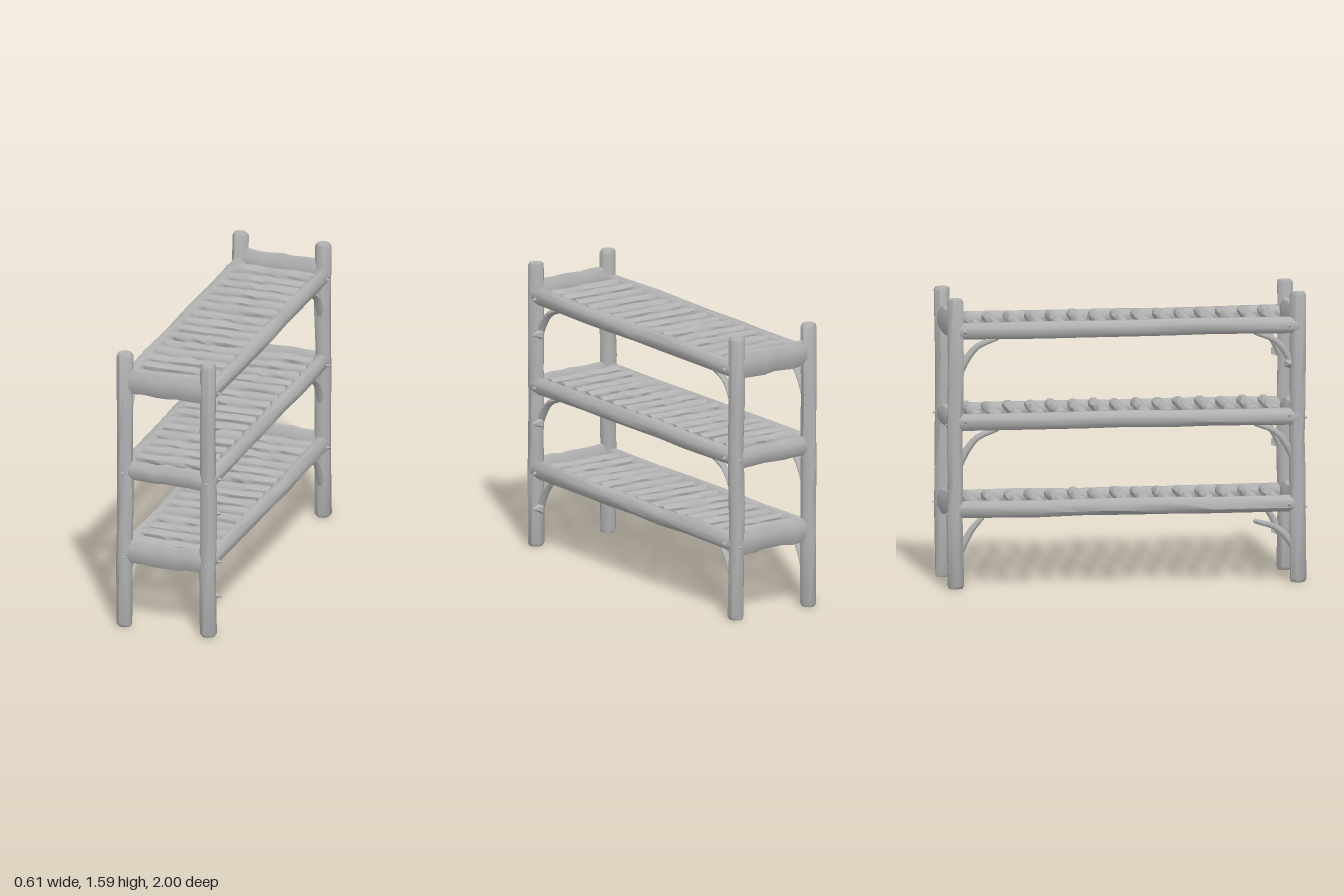
import * as THREE from 'three';
import { toCreasedNormals } from 'three/addons/utils/BufferGeometryUtils.js';

const SIDES = 8, RINGS = 8;
const wood = new THREE.MeshStandardMaterial({ color: 0xb2b2b2 });
wood.name = 'plain grey wood';

// repeatable noise in -1..1
const noise = (a, b, c) => {
  const s = Math.sin(a * 12.9898 + b * 78.233 + c * 37.719) * 43758.5453;
  return (s - Math.floor(s)) * 2 - 1;
};

export function createModel() {
  const model = new THREE.Group();
  model.name = 'logShelf';
  let seed = 1;

  function add(name, geometry, parent = model) {
    const mesh = new THREE.Mesh(geometry, wood);
    mesh.name = name;
    parent.add(mesh);
    return mesh;
  }

  // rough hewn log along y: eight sides, uneven surface, worn ends
  function logGeometry(length, width, depth, rough = 0.06) {
    const id = seed++;
    const g = new THREE.CylinderGeometry(0.5, 0.5, 1, SIDES, RINGS, false, Math.PI / SIDES);
    const p = g.attributes.position;
    const grow = 1.03 / Math.cos(Math.PI / SIDES);
    for (let i = 0; i < p.count; i++) {
      const x = p.getX(i), z = p.getZ(i);
      const ring = Math.round((p.getY(i) + 0.5) * RINGS);
      const side = (Math.round((Math.atan2(z, x) / Math.PI + 1) * SIDES * 2) + 4 * SIDES) % (4 * SIDES);
      const end = ring === 0 || ring === RINGS;
      const s = grow * (end ? 0.84 : 1) * (1 + rough * noise(ring, side, id));
      let y = (ring / RINGS - 0.5) * length;
      if (ring === 1) y = -length / 2 + 0.015;
      if (ring === RINGS - 1) y = length / 2 - 0.015;
      const bend = end ? 0 : 0.04;
      p.setXYZ(i, x * s * width + bend * width * noise(ring, id, 3), y,
        z * s * depth + bend * depth * noise(ring, id, 7));
    }
    return toCreasedNormals(g, 0.85);
  }

  // pointed stub of a cut branch, pointing outward
  function knot(parent, x, y, z, axis, sign) {
    const g = new THREE.ConeGeometry(0.03, 0.06, 5);
    if (axis === 'x') g.rotateZ(-sign * Math.PI / 2);
    else g.rotateX(sign * Math.PI / 2);
    add('knot', toCreasedNormals(g, 0.5), parent).position.set(x, y, z);
  }

  // curved branch bracing a post and a rail, thinner at the rail end
  function brace(parent, x, sz, points) {
    const curve = new THREE.CatmullRomCurve3(points.map(([z, y]) => new THREE.Vector3(x, y, z * sz)));
    const g = new THREE.TubeGeometry(curve, 8, 0.022, 6);
    const p = g.attributes.position, c = new THREE.Vector3(), v = new THREE.Vector3();
    for (let i = 0; i < p.count; i++) {
      const t = Math.floor(i / 7) / 8;
      curve.getPointAt(t, c);
      v.fromBufferAttribute(p, i).sub(c).multiplyScalar(1.1 - 0.45 * t).add(c);
      p.setXYZ(i, v.x, v.y, v.z);
    }
    g.computeVertexNormals();
    add('brace', g, parent);
    // closed tip
    const tip = new THREE.SphereGeometry(0.0143, 6, 4);
    const last = points[points.length - 1];
    add('braceTip', tip, parent).position.set(x, last[1], last[0] * sz);
  }

  // corner posts with knots
  for (const sx of [-1, 1]) for (const sz of [-1, 1]) {
    const post = new THREE.Group();
    post.name = 'post';
    model.add(post);
    add('postLog', logGeometry(1.59, 0.08, 0.08), post).position.set(sx * 0.24, 0.795, sz * 0.94);
    const heights = sx > 0 ? [1.4, 1.2, 0.9, 0.7, 0.42, 0.22] : [1.41, 1.2, 0.92, 0.43];
    heights.forEach((y, i) => {
      if (sz > 0 || i % 2 === 0) knot(post, sx * 0.273, y, sz * 0.89, 'x', sx);
    });
    for (const y of [0.9, 0.41]) knot(post, sx * 0.24, y, sz * 0.968, 'z', sz);
  }

  // tiers: side rail centre, end rail centre and height, slat centre
  const tiers = [
    { name: 'bottomTier', rail: 0.425, end: 0.43, endHeight: 0.125, slat: 0.448 },
    { name: 'middleTier', rail: 0.905, end: 0.905, endHeight: 0.1, slat: 0.936 },
    { name: 'topTier', rail: 1.405, end: 1.425, endHeight: 0.135, slat: 1.425 },
  ];
  tiers.forEach((t, level) => {
    const tier = new THREE.Group();
    tier.name = t.name;
    model.add(tier);

    // long side rails
    for (const sx of [-1, 1]) {
      const g = logGeometry(1.9, 0.078, 0.086, 0.05);
      g.rotateX(Math.PI / 2);
      add('sideRail', g, tier).position.set(sx * 0.24, t.rail + (sx < 0 ? 0.006 : 0), 0);
    }
    // short end rails
    for (const sz of [-1, 1]) {
      const g = logGeometry(0.5, t.endHeight, 0.06, 0.05);
      g.rotateZ(Math.PI / 2 - 0.02);
      add('endRail', g, tier).position.set(0, t.end, sz * 0.94);
    }
    // cross slats
    for (let i = -7; i <= 7; i++) {
      const g = logGeometry(0.46, 0.055, 0.06, 0.09);
      g.rotateZ(Math.PI / 2);
      g.rotateY(0.015 * noise(i, level, 5));
      add('slat', g, tier).position.set(0, t.slat + 0.004 * noise(i, level, 9), i * 0.117);
    }
    // curved corner braces
    for (const sx of [-1, 1]) for (const sz of [-1, 1]) {
      const y = t.rail;
      let path = [[0.92, y - 0.23], [0.885, y - 0.16], [0.82, y - 0.08], [0.71, y - 0.035]];
      if (level === 0) {
        path = sx < 0 && sz > 0
          ? [[0.92, 0.19], [0.885, 0.24], [0.82, 0.3], [0.71, 0.335]]
          : [[0.92, 0.19], [0.89, 0.25], [0.85, 0.32], [0.79, 0.39]];
      }
      brace(tier, sx * 0.235, sz, path);
    }
  });
  return model;
}
